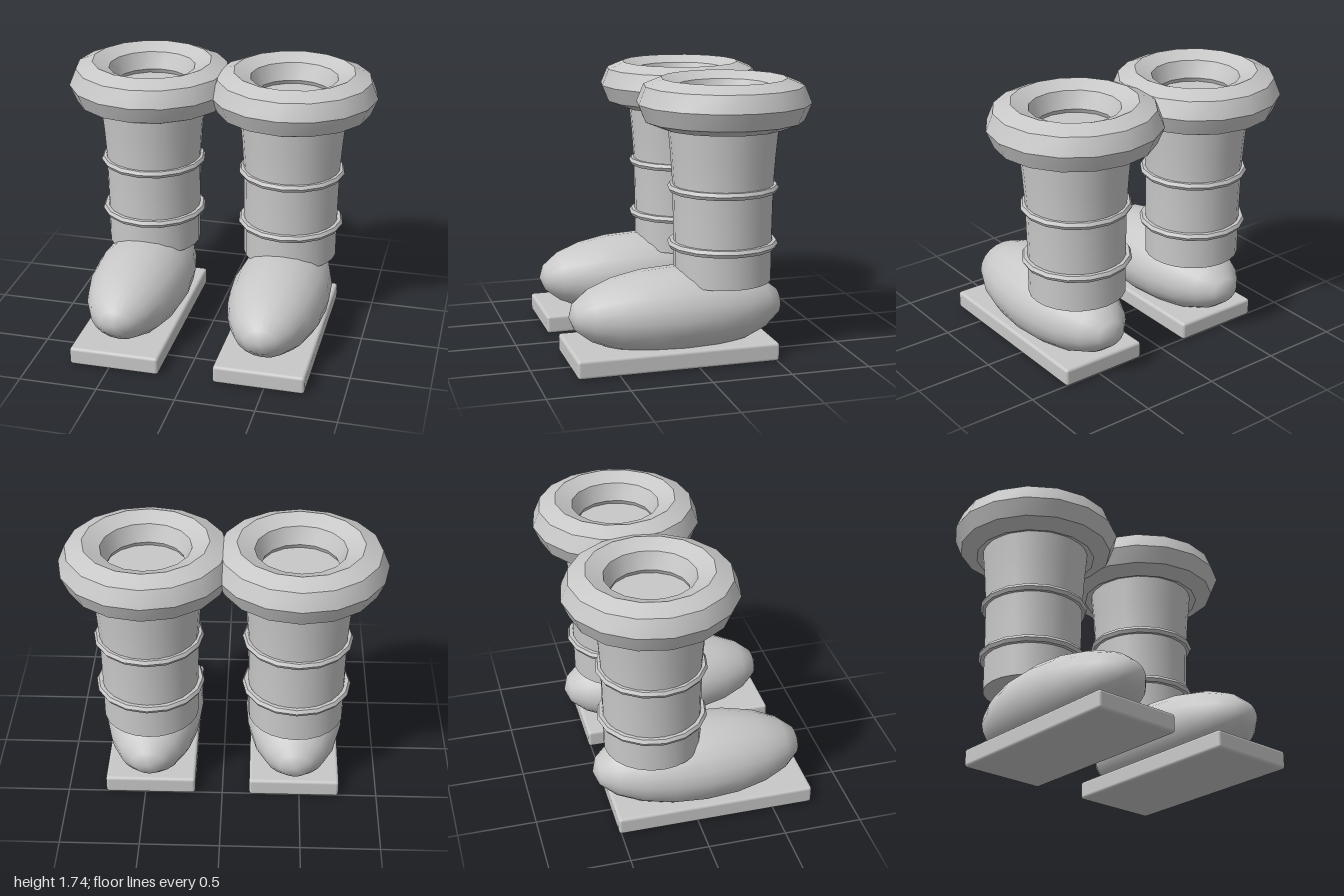
import * as THREE from 'three';
import { toCreasedNormals } from 'three/addons/utils/BufferGeometryUtils.js';
import { RoundedBoxGeometry } from 'three/addons/geometries/RoundedBoxGeometry.js';

const LEG_Z = -0.23;

// Horizontal ring with crisp bands around its tube
function ring(radius, tube, sides) {
  const g = new THREE.TorusGeometry(radius, tube, sides, 16).rotateX(Math.PI / 2);
  return toCreasedNormals(g, 0.6);
}

export function createModel() {
  const grey = new THREE.MeshStandardMaterial({ color: 0xc8c8c8 });
  grey.name = 'light grey';

  // Flared shaft, closed at the bottom and just inside the cuff
  const profile = [
    [0, 0.48], [0.305, 0.48], [0.307, 0.8], [0.312, 1.08],
    [0.325, 1.27], [0.342, 1.45], [0.35, 1.56], [0, 1.56],
  ].map(([r, y]) => new THREE.Vector2(r, y));
  const shaft = toCreasedNormals(new THREE.LatheGeometry(profile, 24), 0.6);

  // Egg-shaped foot with its poles at toe and heel
  const foot = new THREE.SphereGeometry(1, 20, 10).rotateX(Math.PI / 2).scale(0.32, 0.27, 0.685);

  const sole = new RoundedBoxGeometry(0.58, 0.118, 1.275, 2, 0.02);
  const cuff = ring(0.385, 0.15, 8);
  const band = ring(0.32, 0.025, 6);

  const parts = [
    ['sole', sole, 0.059, 0.1225],
    ['foot', foot, 0.305, 0.067],
    ['shaft', shaft, 0, LEG_Z],
    ['lowerBand', band, 0.711, LEG_Z],
    ['upperBand', band, 1.063, LEG_Z],
    ['cuff', cuff, 1.586, LEG_Z],
  ];

  const model = new THREE.Group();
  model.name = 'boots';
  for (const [side, x] of [['left', 0.465], ['right', -0.465]]) {
    const boot = new THREE.Group();
    boot.name = side + 'Boot';
    boot.position.x = x;
    for (const [name, geometry, y, z] of parts) {
      const mesh = new THREE.Mesh(geometry, grey);
      mesh.name = name;
      mesh.position.set(0, y, z);
      boot.add(mesh);
    }
    model.add(boot);
  }
  return model;
}
